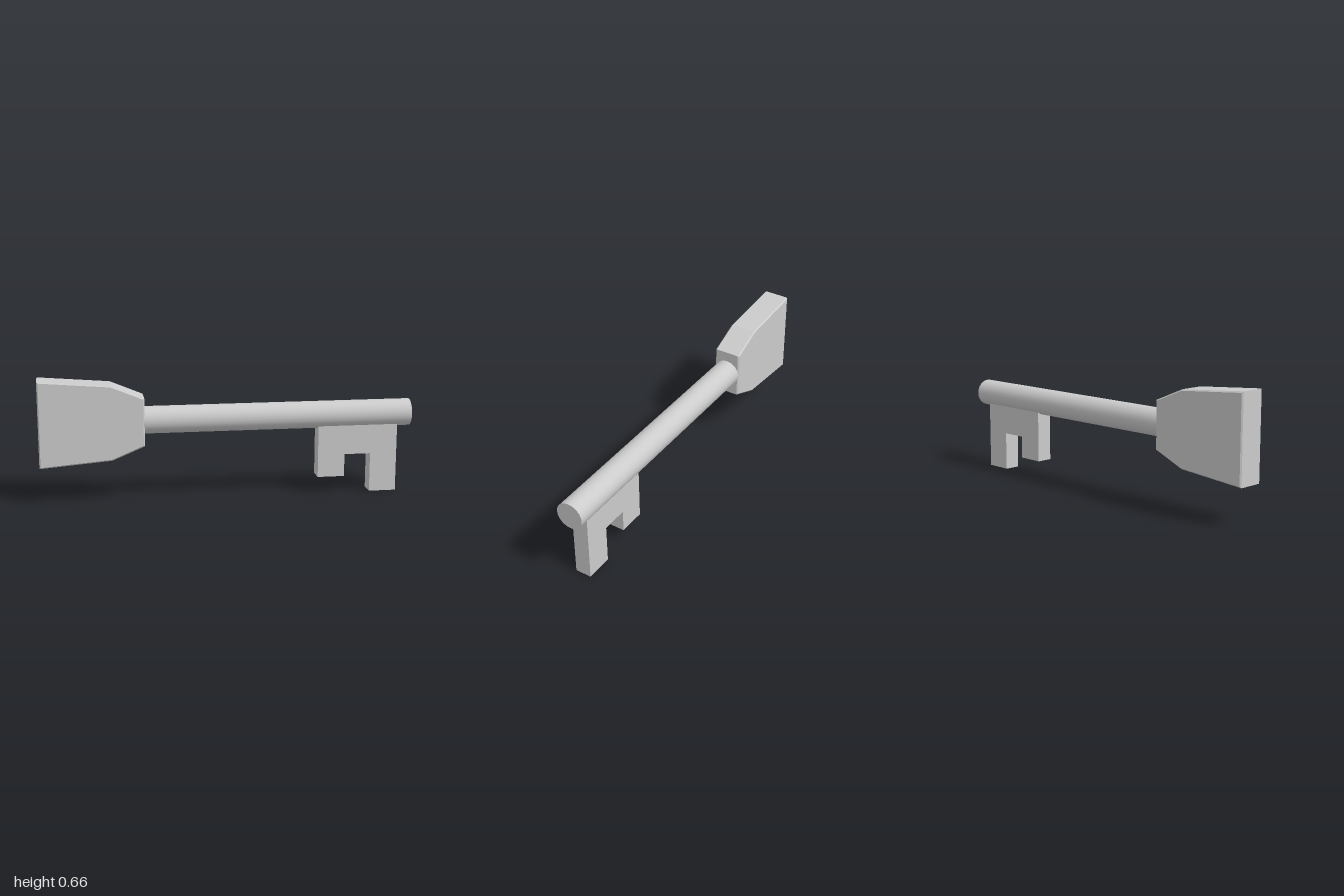
import * as THREE from 'three';

const material = new THREE.MeshStandardMaterial({ color: 0xcccccc });

// Flat plate cut from an outline in the xy plane, centred on z = 0
function plate(name, points, depth, bevel) {
  const shape = new THREE.Shape(points.map(([x, y]) => new THREE.Vector2(x, y)));
  const geometry = new THREE.ExtrudeGeometry(shape, {
    depth: depth - 2 * bevel,
    bevelEnabled: bevel > 0,
    bevelThickness: bevel,
    bevelSize: bevel,
    bevelOffset: -bevel,
    bevelSegments: 1,
  });
  geometry.translate(0, 0, bevel - depth / 2);
  const mesh = new THREE.Mesh(geometry, material);
  mesh.name = name;
  return mesh;
}

export function createModel() {
  const key = new THREE.Group();
  key.name = 'key';
  const axisY = 0.43;

  // Bow: tapered handle, mirrored about the shaft axis
  const half = [[-1, 0.231], [-0.62, 0.2], [-0.447, 0.128]];
  const lower = half.map(([x, h]) => [x, axisY - h]);
  const upper = half.map(([x, h]) => [x, axisY + h]).reverse();
  key.add(plate('bow', [...lower, ...upper], 0.148, 0.007));

  // Shaft: round bar along x
  const start = -0.46, end = 1;
  const shaft = new THREE.Mesh(
    new THREE.CylinderGeometry(0.073, 0.073, end - start, 24).rotateZ(-Math.PI / 2),
    material
  );
  shaft.position.set((start + end) / 2, axisY, 0);
  shaft.name = 'shaft';
  key.add(shaft);

  // Bit: two teeth of unequal length with a notch between them
  key.add(plate('bit', [
    [0.49, 0.41], [0.49, 0.09], [0.637, 0.09], [0.637, 0.213],
    [0.78, 0.213], [0.78, 0], [0.927, 0], [0.927, 0.41],
  ], 0.088, 0));

  return key;
}
